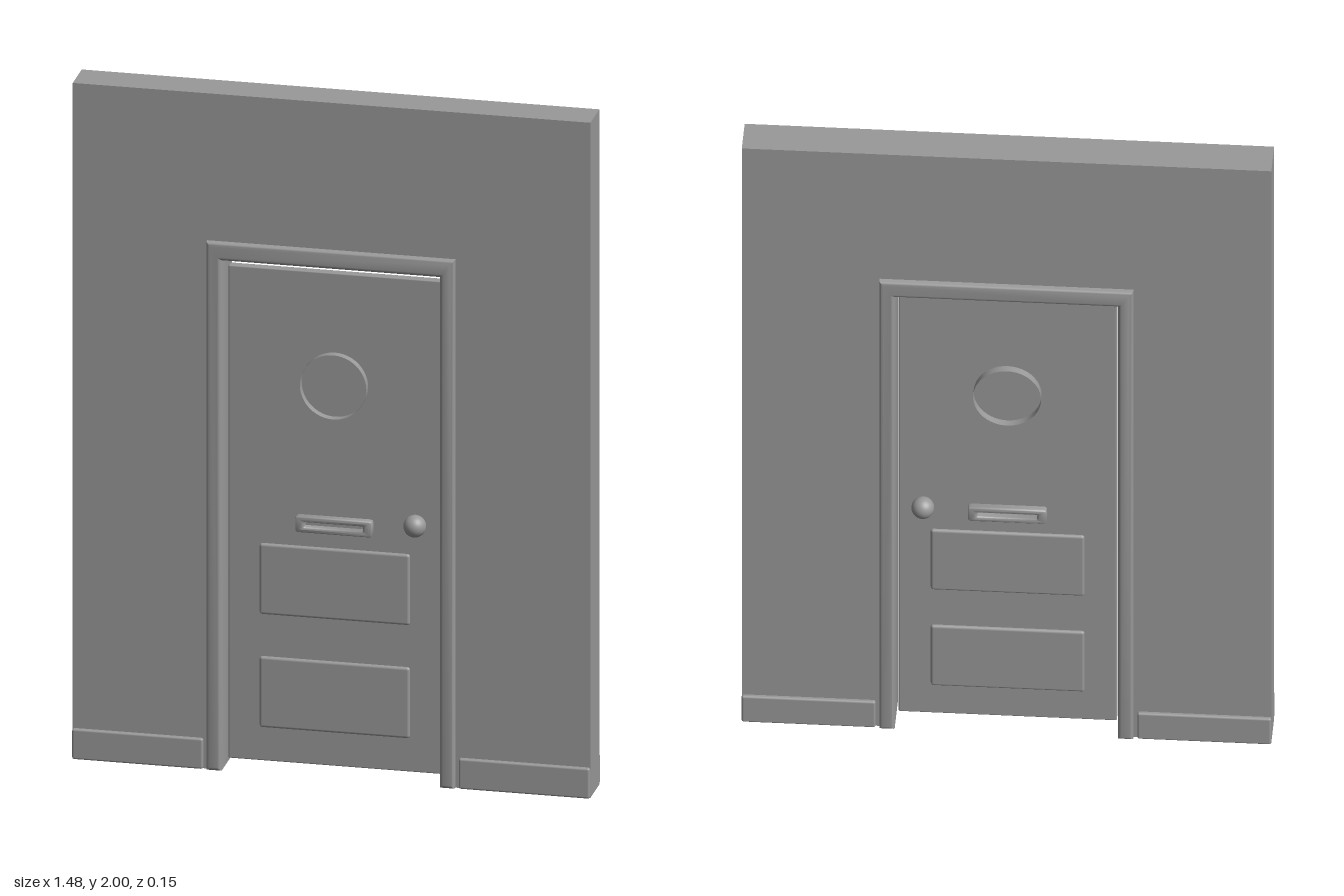
import * as THREE from 'three';
import { toCreasedNormals } from 'three/addons/utils/BufferGeometryUtils.js';
import { RoundedBoxGeometry } from 'three/addons/geometries/RoundedBoxGeometry.js';

const grey = new THREE.MeshStandardMaterial({ color: 0x999999 });
grey.name = 'plain grey';
grey.side = THREE.DoubleSide;

function add(parent, name, geometry, x = 0, y = 0, z = 0) {
  const mesh = new THREE.Mesh(geometry, grey);
  mesh.name = name;
  mesh.position.set(x, y, z);
  parent.add(mesh);
  return mesh;
}

// Upside-down U outline: outer half width and height, inner half width and height
function archShape(ow, oh, iw, ih) {
  return new THREE.Shape([
    [-ow, 0], [-iw, 0], [-iw, ih], [iw, ih], [iw, 0], [ow, 0], [ow, oh], [-ow, oh],
  ].map(([x, y]) => new THREE.Vector2(x, y)));
}

// Rectangle with rounded corners
function roundedRect(path, w, h, r) {
  const x = w / 2 - r, y = h / 2 - r;
  path.absarc(x, y, r, 0, Math.PI / 2);
  path.absarc(-x, y, r, Math.PI / 2, Math.PI);
  path.absarc(-x, -y, r, Math.PI, Math.PI * 1.5);
  path.absarc(x, -y, r, Math.PI * 1.5, Math.PI * 2);
  path.closePath();
  return path;
}

// Extrusion centred on z = 0, rounded inward so the outline keeps its size
function slab(shape, depth, bevel = 0) {
  const geometry = new THREE.ExtrudeGeometry(shape, {
    depth: depth - 2 * bevel,
    bevelEnabled: bevel > 0,
    bevelThickness: bevel,
    bevelSize: bevel,
    bevelOffset: -bevel,
    bevelSegments: 4,
    curveSegments: 6,
  });
  geometry.translate(0, 0, -depth / 2 + bevel);
  return toCreasedNormals(geometry, 0.6);
}

export function createModel() {
  const model = new THREE.Group();
  model.name = 'doorInWall';

  // Wall with the doorway cut out, and the casing that lines it
  add(model, 'wall', slab(archShape(0.74, 2, 0.335, 1.54), 0.114));
  add(model, 'doorFrame', slab(archShape(0.355, 1.565, 0.312, 1.512), 0.15, 0.011));

  // Baseboards on both sides of the frame
  for (const side of [-1, 1]) {
    add(model, 'baseboard', new RoundedBoxGeometry(0.374, 0.09, 0.136, 3, 0.006), side * 0.553, 0.045);
  }

  const door = new THREE.Group();
  door.name = 'door';
  model.add(door);
  add(door, 'doorLeaf', new RoundedBoxGeometry(0.61, 1.46, 0.026, 2, 0.004), 0, 0.75);

  // Raised panels run through the leaf
  for (const y of [0.225, 0.56]) {
    add(door, 'panel', new RoundedBoxGeometry(0.43, 0.21, 0.042, 3, 0.008), 0, y);
  }

  // Thin round window rim
  const rim = new THREE.CylinderGeometry(0.095, 0.095, 0.074, 48, 1, true);
  add(door, 'windowRim', rim.rotateX(Math.PI / 2), 0, 1.15);

  // Letter slot: rounded surround with a narrow opening
  const slot = roundedRect(new THREE.Shape(), 0.22, 0.048, 0.009);
  slot.holes.push(roundedRect(new THREE.Path(), 0.168, 0.014, 0.003));
  add(door, 'letterSlot', slab(slot, 0.07, 0.007), 0, 0.735);

  // Knobs front and back on one spindle
  const spindle = new THREE.CylinderGeometry(0.012, 0.012, 0.08, 16);
  add(door, 'spindle', spindle.rotateX(Math.PI / 2), 0.235, 0.76);
  for (const side of [-1, 1]) {
    add(door, 'knob', new THREE.SphereGeometry(0.032, 24, 16), 0.235, 0.76, side * 0.043);
  }

  return model;
}
